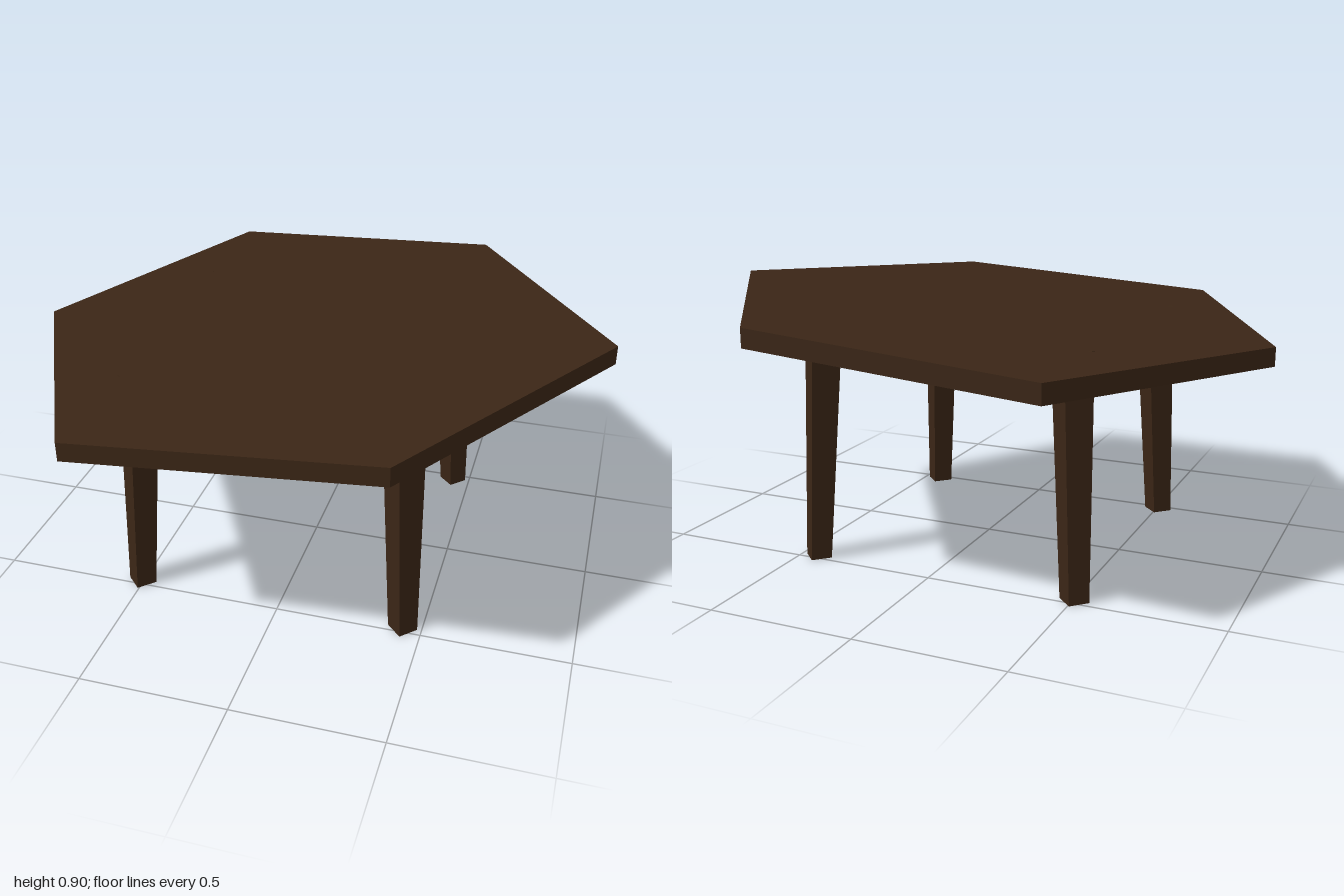
import * as THREE from 'three';

const wood = new THREE.MeshStandardMaterial({ color: 0x3b2616, flatShading: true });

// Hexagonal slab whose height rises steadily along x
function makeTop() {
  const outline = [[-1, 0], [-0.545, -0.88], [0.45, -0.845], [1, 0], [0.45, 0.84], [-0.545, 0.885]];
  const shape = new THREE.Shape(outline.map(([x, y]) => new THREE.Vector2(x, y)));
  const geo = new THREE.ExtrudeGeometry(shape, { depth: 0.064, bevelEnabled: false });
  geo.rotateX(-Math.PI / 2);
  const p = geo.attributes.position;
  for (let i = 0; i < p.count; i++) p.setY(i, p.getY(i) + 0.771 + 0.0665 * p.getX(i));
  geo.computeVertexNormals();
  const top = new THREE.Mesh(geo, wood);
  top.name = 'tableTop';
  return top;
}

// Square tapered leg standing corner-on, leaning inward towards the top
function makeLeg(name, footX, headX, side) {
  const height = 0.8;
  const geo = new THREE.CylinderGeometry(0.071, 0.05, height, 4);
  geo.translate(0, height / 2, 0);
  const p = geo.attributes.position;
  for (let i = 0; i < p.count; i++) {
    const t = p.getY(i) / height;
    p.setX(i, p.getX(i) + THREE.MathUtils.lerp(footX, headX, t));
    p.setZ(i, p.getZ(i) + side * THREE.MathUtils.lerp(0.475, 0.443, t));
  }
  geo.computeVertexNormals();
  const leg = new THREE.Mesh(geo, wood);
  leg.name = name;
  return leg;
}

export function createModel() {
  const table = new THREE.Group();
  table.name = 'table';
  table.add(makeTop());
  for (const [end, side] of [['front', 1], ['back', -1]]) {
    table.add(makeLeg(end + 'RightLeg', -0.505, -0.472, side));
    table.add(makeLeg(end + 'LeftLeg', 0.435, 0.405, side));
  }
  return table;
}
